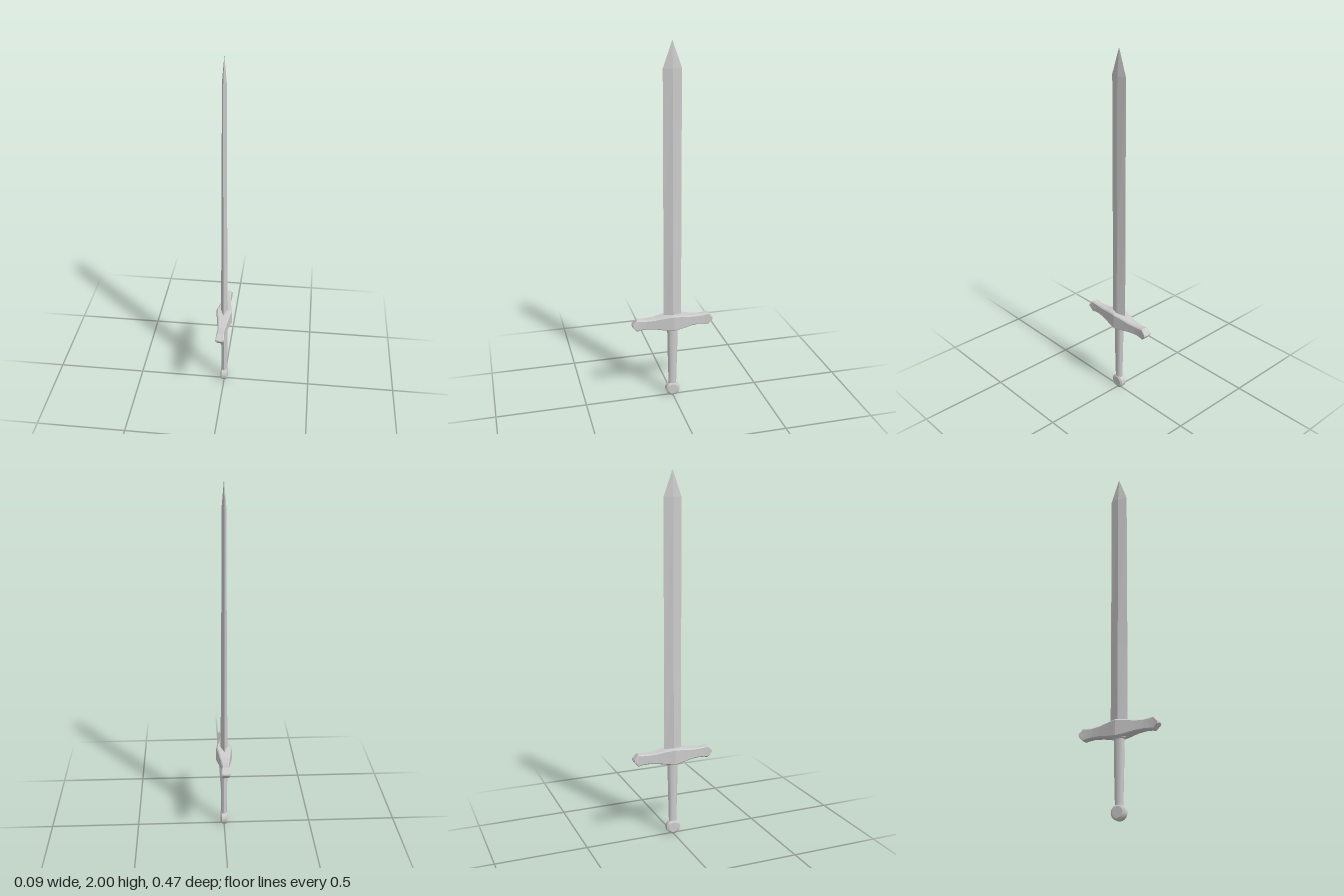
import * as THREE from 'three';
import { toCreasedNormals } from 'three/addons/utils/BufferGeometryUtils.js';

const steel = new THREE.MeshStandardMaterial({ color: 0xcccccc });

// Skin rings of [x, y, z] points, closing both ends on the given centre points
function loft(rings, startPoint, endPoint) {
  const out = [];
  const n = rings[0].length;
  const last = rings[rings.length - 1];
  for (let j = 0; j < n; j++) {
    const k = (j + 1) % n;
    out.push(startPoint, rings[0][k], rings[0][j]);
    for (let i = 0; i < rings.length - 1; i++) {
      const [a, b, c, d] = [rings[i][j], rings[i][k], rings[i + 1][k], rings[i + 1][j]];
      out.push(a, b, c, a, c, d);
    }
    out.push(endPoint, last[j], last[k]);
  }
  const geometry = new THREE.BufferGeometry();
  geometry.setAttribute('position', new THREE.Float32BufferAttribute(out.flat(), 3));
  geometry.computeVertexNormals();
  return geometry;
}

// Elliptical ring around the y axis
function ringY(y, halfX, halfZ, sides) {
  return Array.from({ length: sides }, (_, i) => {
    const a = (i / sides) * Math.PI * 2;
    return [Math.sin(a) * halfX, y, Math.cos(a) * halfZ];
  });
}

// Chamfered rectangular ring across the guard
function guardRing(z, hx, hy, cy) {
  const c = Math.min(0.006, hy * 0.4);
  const corners = [
    [hx, -hy + c], [hx, hy - c], [hx - c, hy], [-hx + c, hy],
    [-hx, hy - c], [-hx, -hy + c], [-hx + c, -hy], [hx - c, -hy],
  ];
  return corners.map(([x, y]) => [x, cy + y, z]);
}

export function createModel() {
  const group = new THREE.Group();
  const add = (name, geometry) => {
    const mesh = new THREE.Mesh(geometry, steel);
    mesh.name = name;
    group.add(mesh);
    return mesh;
  };

  // Diamond-section blade, thinning towards the point
  const bladeRings = [[0.46, 0.02, 0.05], [0.93, 0.016, 0.05], [1.86, 0.012, 0.05]]
    .map(([y, hx, hz]) => ringY(y, hx, hz, 4));
  add('blade', loft(bladeRings, [0, 0.46, 0], [0, 2, 0]));

  // Crossguard: [z, half width, half height], mirrored about the middle
  const half = [
    [0.05, 0.035, 0.04], [0.1, 0.027, 0.031], [0.15, 0.021, 0.028],
    [0.18, 0.02, 0.03], [0.205, 0.021, 0.034], [0.228, 0.024, 0.008],
  ];
  const stations = [
    ...half.map(([z, hx, hy]) => [-z, hx, hy]).reverse(),
    [0, 0.044, 0.046],
    ...half,
  ];
  add('crossguard', loft(
    stations.map(([z, hx, hy]) => guardRing(z, hx, hy, 0.462)),
    [0, 0.462, -0.234], [0, 0.462, 0.234],
  ));

  // Collar under the guard
  add('collar', loft(
    [[0.411, 0.021, 0.034], [0.417, 0.025, 0.04], [0.44, 0.025, 0.04]].map(([y, x, z]) => ringY(y, x, z, 8)),
    [0, 0.411, 0], [0, 0.44, 0],
  ));

  // Grip, slightly wider at the top
  const gripRings = [[0.06, 0.016, 0.022], [0.2, 0.018, 0.026], [0.32, 0.019, 0.029], [0.42, 0.019, 0.03]]
    .map(([y, x, z]) => ringY(y, x, z, 12));
  add('grip', toCreasedNormals(loft(gripRings, [0, 0.06, 0], [0, 0.42, 0]), 0.7));

  // Disc pommel with bevelled rims, facing sideways
  const profile = [[0, -0.02], [0.029, -0.02], [0.04, -0.013], [0.04, 0.013], [0.029, 0.02], [0, 0.02]]
    .map(([r, y]) => new THREE.Vector2(r, y));
  const pommel = add('pommel', toCreasedNormals(new THREE.LatheGeometry(profile, 20), 0.5));
  pommel.rotation.z = Math.PI / 2;
  pommel.position.y = 0.04;

  return group;
}
